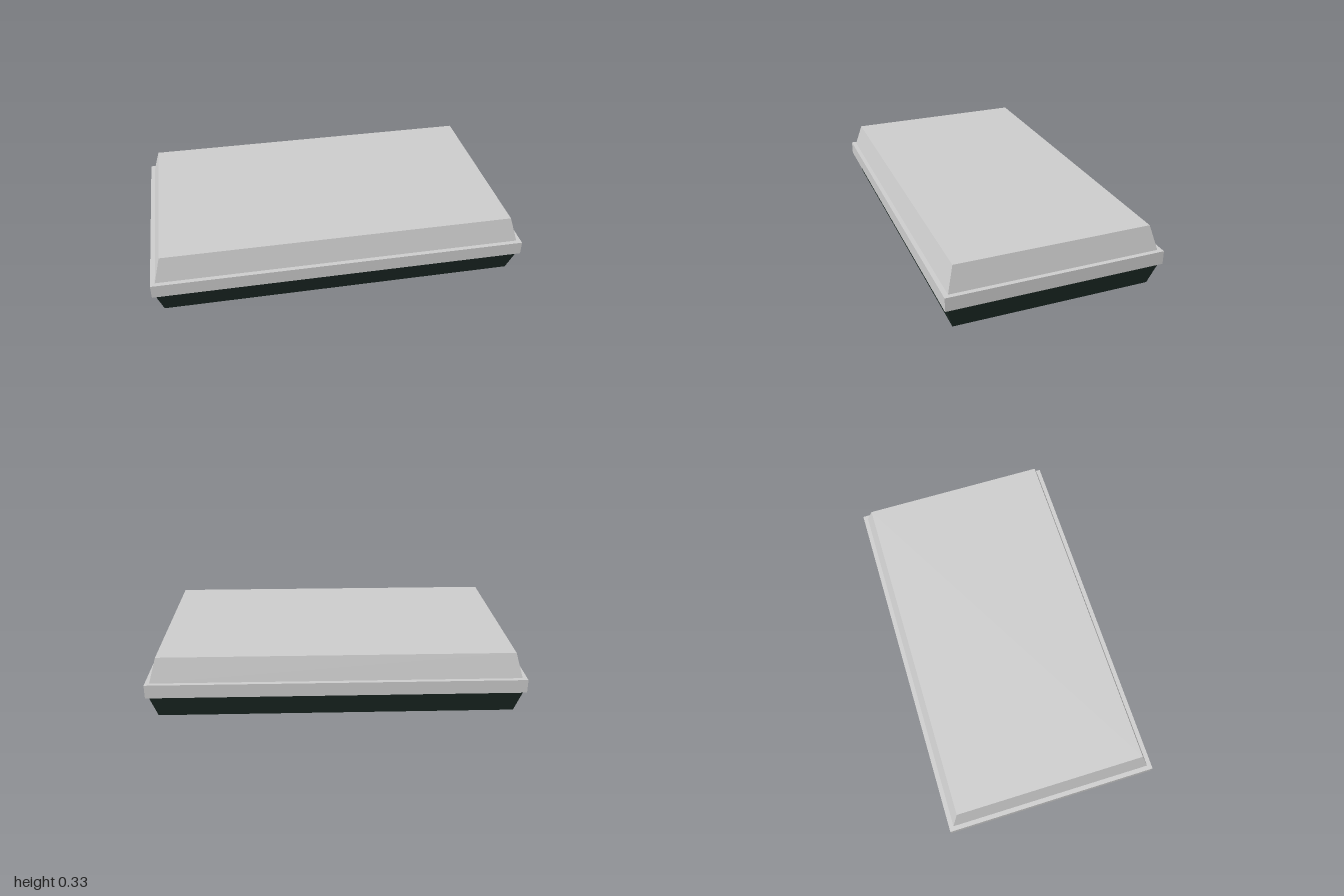
import * as THREE from 'three';

const grey = new THREE.MeshStandardMaterial({ color: 0xcccccc, flatShading: true });
const dark = new THREE.MeshStandardMaterial({ color: 0x1c2925, flatShading: true });

// Rectangular block whose bottom and top have their own half sizes [x, z]
function taperedBox(name, material, y0, y1, bottom, top) {
  const geometry = new THREE.BoxGeometry(2, 2, 2);
  const p = geometry.attributes.position;
  for (let i = 0; i < p.count; i++) {
    const upper = p.getY(i) > 0;
    const [hx, hz] = upper ? top : bottom;
    p.setXYZ(i, Math.sign(p.getX(i)) * hx, upper ? y1 : y0, Math.sign(p.getZ(i)) * hz);
  }
  geometry.computeVertexNormals();
  const mesh = new THREE.Mesh(geometry, material);
  mesh.name = name;
  return mesh;
}

export function createModel() {
  const group = new THREE.Group();
  group.name = 'lidded tray';
  group.add(
    // Dark tray widening upwards
    taperedBox('tray', dark, 0, 0.128, [0.95, 0.53], [0.985, 0.566]),
    // Straight rim around the middle
    taperedBox('rim', grey, 0.128, 0.202, [1, 0.58], [1, 0.58]),
    // Lid narrowing upwards
    taperedBox('lid', grey, 0.202, 0.332, [0.976, 0.556], [0.94, 0.52]),
  );
  return group;
}
